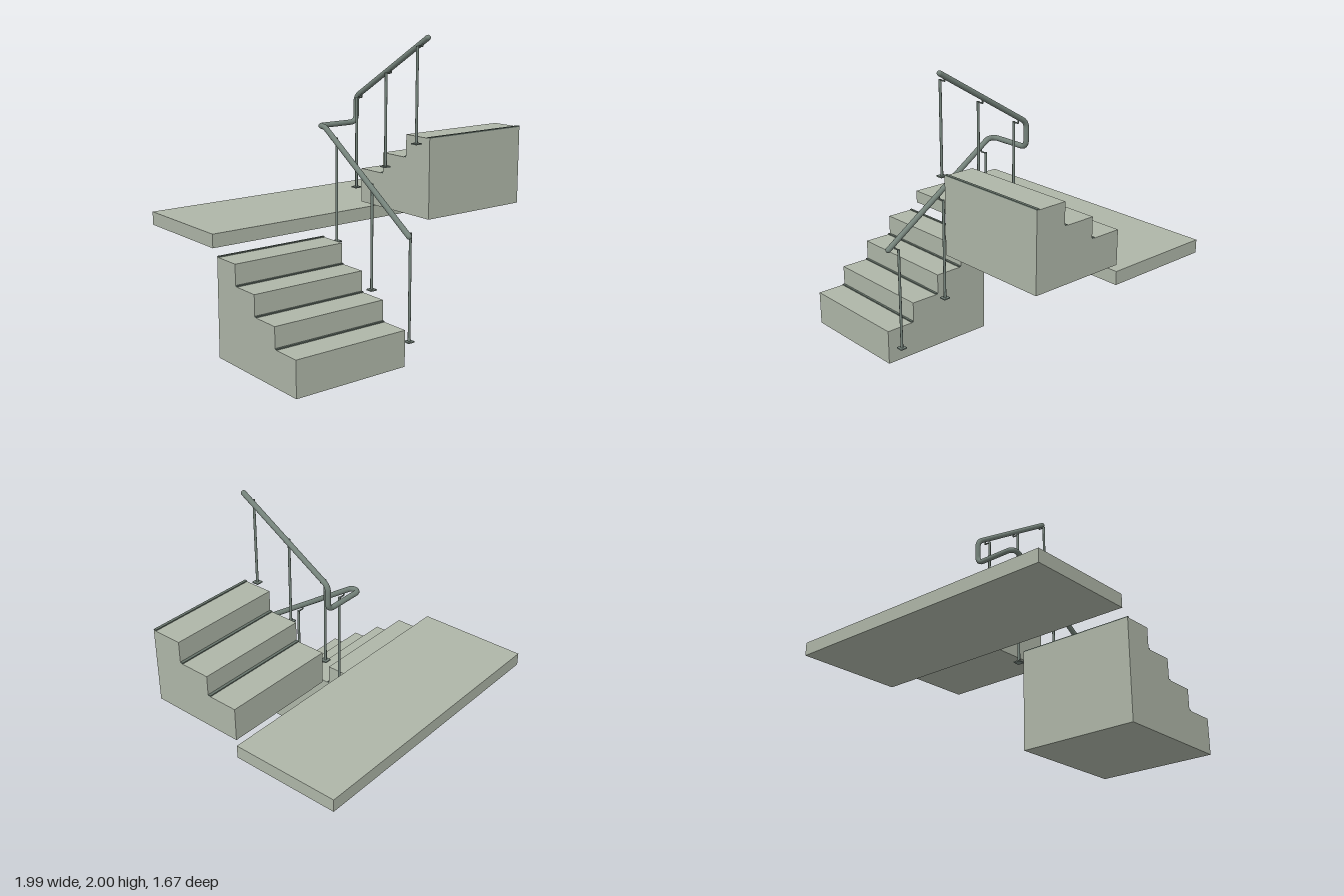
import * as THREE from 'three';

const concrete = new THREE.MeshStandardMaterial({ color: 0xaeb6a8 });
concrete.name = 'concrete';
const metal = new THREE.MeshStandardMaterial({ color: 0x74827a });
metal.name = 'painted metal';
const strip = new THREE.MeshStandardMaterial({ color: 0x66736a });
strip.name = 'tread strip';

function add(parent, name, geometry, material, x = 0, y = 0, z = 0) {
  const mesh = new THREE.Mesh(geometry, material);
  mesh.name = name;
  mesh.position.set(x, y, z);
  parent.add(mesh);
  return mesh;
}

// Solid stepped block; edges run from the front riser (or back) as [z, y] profile points
function flight(name, x0, x1, base, zs, ys, rise) {
  const group = new THREE.Group();
  group.name = name;
  const shape = new THREE.Shape();
  shape.moveTo(-zs[0], base);
  ys.forEach((y, i) => {
    shape.lineTo(-zs[i], y);
    shape.lineTo(-zs[i + 1], y);
  });
  shape.lineTo(-zs[zs.length - 1], base);
  const body = new THREE.ExtrudeGeometry(shape, { depth: x1 - x0, bevelEnabled: false });
  body.rotateY(Math.PI / 2); // profile -z becomes world z, depth becomes +x
  add(group, name + 'Body', body, concrete, x0, 0, 0);

  // Dark strip across each tread
  ys.forEach((y, i) => {
    const z = rise > 0 ? zs[i + 1] + 0.008 : zs[i + 1] - 0.01;
    add(group, 'treadStrip', new THREE.BoxGeometry(x1 - x0, 0.008, rise > 0 ? 0.015 : 0.02),
      strip, (x0 + x1) / 2, y + 0.003, z);
  });
  return group;
}

// Handrail path with rounded corners
function roundedPath(points, radii) {
  const path = new THREE.CurvePath();
  const v = points.map((p) => new THREE.Vector3(...p));
  let from = v[0];
  for (let i = 1; i < v.length - 1; i++) {
    const r = radii[i - 1];
    const a = v[i].clone().add(v[i - 1].clone().sub(v[i]).setLength(r));
    const b = v[i].clone().add(v[i + 1].clone().sub(v[i]).setLength(r));
    path.add(new THREE.LineCurve3(from, a));
    path.add(new THREE.QuadraticBezierCurve3(a, v[i], b));
    from = b;
  }
  path.add(new THREE.LineCurve3(from, v[v.length - 1]));
  return path;
}

// Baluster with base plate and side bracket carrying the rail
function post(x, z, bottom, top, railX) {
  const group = new THREE.Group();
  group.name = 'post';
  add(group, 'postShaft', new THREE.CylinderGeometry(0.009, 0.009, top - bottom, 12),
    metal, x, (top + bottom) / 2, z);
  add(group, 'basePlate', new THREE.BoxGeometry(0.048, 0.008, 0.048), metal, x, bottom, z);
  const arm = add(group, 'bracketArm', new THREE.CylinderGeometry(0.005, 0.005, Math.abs(railX - x), 8),
    metal, (x + railX) / 2, top - 0.004, z);
  arm.rotation.z = Math.PI / 2;
  add(group, 'bracketStem', new THREE.CylinderGeometry(0.005, 0.005, 0.03, 8),
    metal, railX, top + 0.01, z);
  return group;
}

export function createModel() {
  const model = new THREE.Group();
  model.name = 'staircase';

  // Two flights and the landing between them
  model.add(flight('lowerFlight', -1, -0.185, 0,
    [0.82, 0.61, 0.4, 0.195, -0.01], [0.235, 0.375, 0.515, 0.655], 1));
  model.add(flight('upperFlight', 0.18, 0.99, 0.835,
    [-0.06, 0.165, 0.395, 0.617], [1.065, 1.205, 1.355], -1));
  add(model, 'landing', new THREE.BoxGeometry(1.99, 0.09, 0.775), concrete, -0.005, 0.745, -0.4475);

  // Continuous handrail
  const railing = new THREE.Group();
  railing.name = 'railing';
  const points = [
    [-0.157, 0.818, 0.815], [-0.157, 1.385, -0.025], [-0.157, 1.385, -0.085],
    [0.152, 1.385, -0.085], [0.152, 1.555, -0.085], [0.152, 1.982, 0.617],
  ];
  const path = roundedPath(points, [0.02, 0.038, 0.05, 0.04]);
  add(railing, 'handrail', new THREE.TubeGeometry(path, 220, 0.018, 16), metal);
  [points[0], points[5]].forEach((p) =>
    add(railing, 'railEnd', new THREE.SphereGeometry(0.018, 16, 10), metal, ...p));

  // Posts along both flights
  [[0.77, 0.13, 0.825], [0.402, 0.375, 1.07], [0.037, 0.622, 1.315]].forEach(([z, b, t]) =>
    railing.add(post(-0.107, z, b, t, -0.15)));
  [[-0.02, 0.953, 1.56], [0.28, 1.137, 1.745], [0.577, 1.325, 1.932]].forEach(([z, b, t]) =>
    railing.add(post(0.104, z, b, t, 0.146)));
  model.add(railing);
  return model;
}
